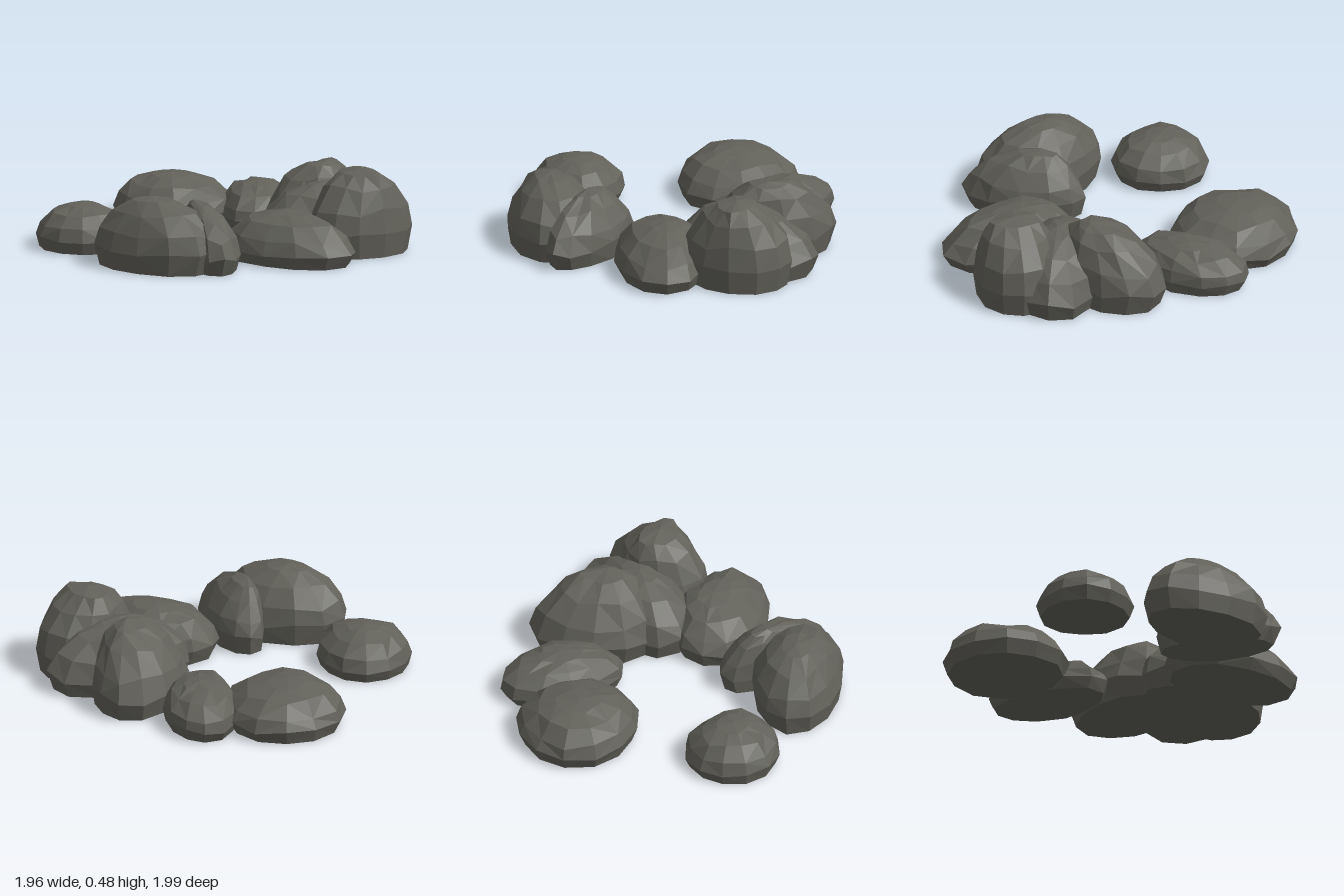
import * as THREE from 'three';

const SIDES = 12;

// Small repeatable noise source, -1 to 1
function makeNoise(seed) {
  let s = seed * 7919 + 17;
  return () => {
    s = (s * 16807) % 2147483647;
    return (s / 2147483647) * 2 - 1;
  };
}

// Faceted boulder: a wobbly, turned ellipse whose rings shrink towards the summit.
// full widens the shoulders, blunt keeps the rock broad across its width near the top.
function rockGeometry(seed, cx, cz, halfLength, halfWidth, turn, px, h, pz, full, blunt) {
  const noise = makeNoise(seed);
  const cos = Math.cos(turn), sin = Math.sin(turn);
  // summit in the rock's own length and width directions
  const pu = (px - cx) * cos + (pz - cz) * sin;
  const pv = (pz - cz) * cos - (px - cx) * sin;
  // height, scale towards the summit, scale jitter, height jitter
  const rings = [
    [0, 0.91, 0.02, 0],
    [h * 0.28, 1, 0, h * 0.05],
    [h * 0.54, 0.58 + full / 2, 0.035, h * 0.05],
    [h * 0.81, full, 0.05, h * 0.04],
    [h * 0.95, full * 0.5, 0.05, h * 0.015],
  ];
  const pos = [];
  rings.forEach(([y, scale, scaleJitter, heightJitter], r) => {
    for (let i = 0; i < SIDES; i++) {
      const angle = (i / SIDES) * Math.PI * 2;
      const wobble = 1.02 + 0.03 * Math.cos(3 * angle + seed);
      const k = scale + noise() * scaleJitter;
      const kv = r > 1 ? k + (1 - k) * blunt : k;
      const u = pu + (Math.cos(angle) * halfLength * wobble - pu) * k;
      const v = pv + (Math.sin(angle) * halfWidth * wobble - pv) * kv;
      pos.push(cx + u * cos - v * sin, y + noise() * heightJitter, cz + u * sin + v * cos);
    }
  });
  const top = rings.length * SIDES;
  pos.push(px, h, pz, px, 0, pz);

  const index = [];
  for (let i = 0; i < SIDES; i++) {
    const j = (i + 1) % SIDES;
    for (let r = 0; r < rings.length - 1; r++) {
      const a = r * SIDES + i, b = r * SIDES + j, c = a + SIDES, d = b + SIDES;
      // mixed diagonals give broken, irregular facets
      if (noise() > 0) index.push(b, a, c, b, c, d);
      else index.push(b, a, d, a, c, d);
    }
    index.push(top - SIDES + j, top - SIDES + i, top); // crown
    index.push(i, j, top + 1); // flat underside
  }
  const geo = new THREE.BufferGeometry();
  geo.setAttribute('position', new THREE.Float32BufferAttribute(pos, 3));
  geo.setIndex(index);
  const flat = geo.toNonIndexed();
  flat.computeVertexNormals();
  return flat;
}

export function createModel() {
  const group = new THREE.Group();
  group.name = 'rockRing';
  const stone = new THREE.MeshStandardMaterial({ color: 0x62615a, flatShading: true });
  stone.name = 'darkStone';

  const addRock = (name, ...shape) => {
    const mesh = new THREE.Mesh(rockGeometry(...shape), stone);
    mesh.name = name;
    group.add(mesh);
  };

  // seed, centre x and z, half length, half width, turn, summit x, y, z, full, blunt
  addRock('backRock', 1, 0.085, -0.65, 0.335, 0.35, 0, 0.06, 0.265, -0.67, 0.67, 0);
  addRock('backLeftRock', 2, 0.455, -0.385, 0.355, 0.21, -1.06, 0.47, 0.235, -0.38, 0.72, 0.05);
  addRock('loneRock', 3, -0.71, -0.235, 0.26, 0.27, 0, -0.71, 0.25, -0.24, 0.68, 0);
  addRock('frontRightRock', 4, -0.585, 0.44, 0.38, 0.25, 1, -0.61, 0.4, 0.4, 0.66, 0);
  addRock('narrowRock', 5, -0.31, 0.53, 0.35, 0.155, 1.81, -0.36, 0.355, 0.43, 0.63, 0);
  addRock('frontRock', 6, 0.155, 0.615, 0.4, 0.265, 1.1, 0.16, 0.275, 0.55, 0.64, 0);
  addRock('leftRock', 7, 0.595, 0.05, 0.355, 0.255, -0.69, 0.61, 0.44, 0.17, 0.63, 0);
  addRock('middleRock', 8, 0.56, 0.345, 0.42, 0.27, 0.15, 0.53, 0.37, 0.35, 0.58, 0);
  addRock('frontLeftRock', 9, 0.61, 0.585, 0.31, 0.235, -0.15, 0.6, 0.48, 0.59, 0.62, 0.4);
  return group;
}
